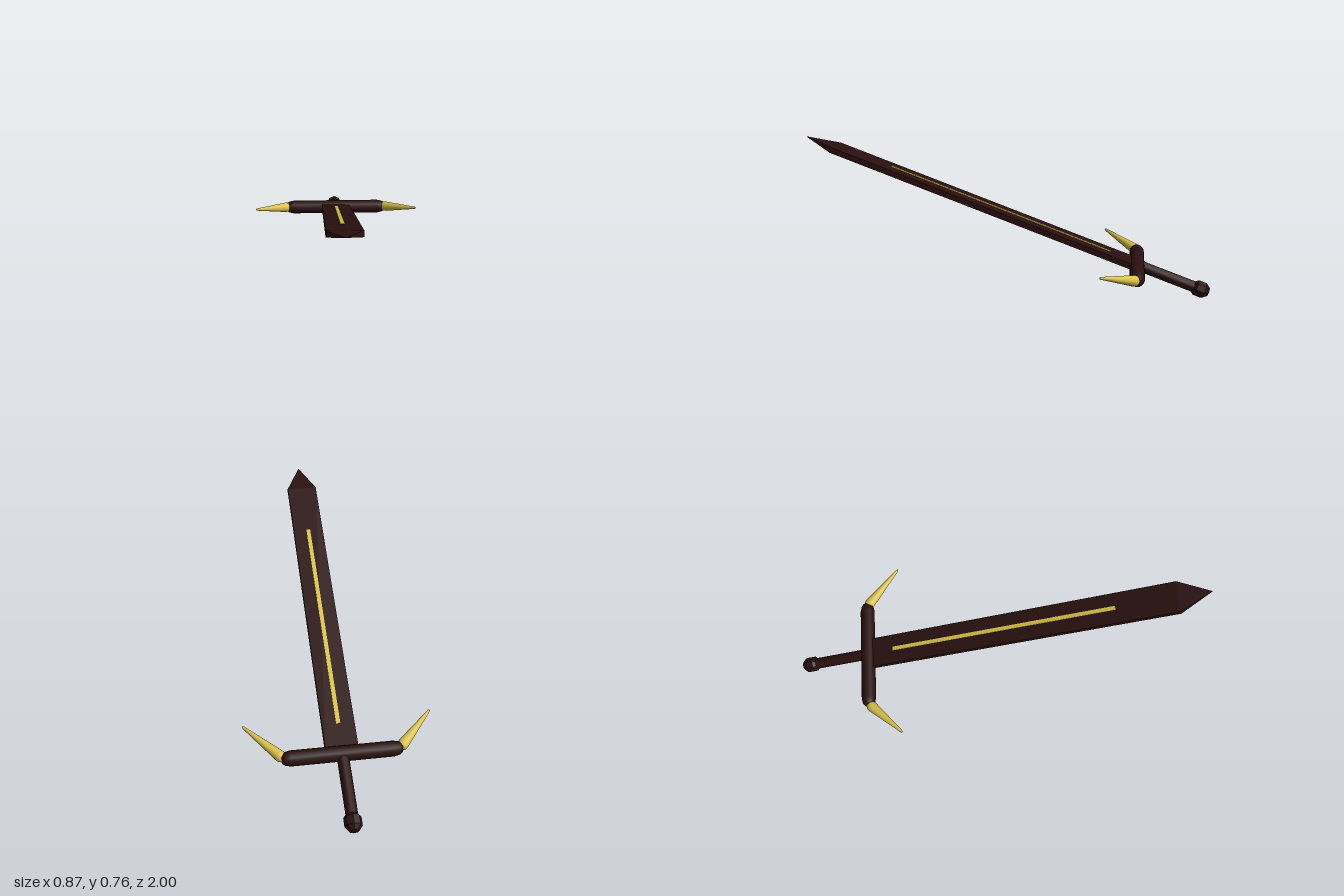
import * as THREE from 'three';

const darkIron = new THREE.MeshStandardMaterial({ color: 0x2a1010 });
darkIron.name = 'darkIron';
const gold = new THREE.MeshStandardMaterial({ color: 0xd8c24a });
gold.name = 'gold';

const flat = (geometry) => {
  const g = geometry.toNonIndexed();
  g.computeVertexNormals();
  return g;
};
// lathe from [radius, height] pairs listed bottom to top
const lathe = (pairs, sides) =>
  new THREE.LatheGeometry(pairs.map(([r, h]) => new THREE.Vector2(r, h)), sides);

export function createModel() {
  const root = new THREE.Group();
  root.name = 'sword';
  // the sword is built along local +y and then tilted
  const sword = new THREE.Group();
  sword.name = 'tiltedSword';
  sword.position.y = 0.393;
  sword.rotation.x = THREE.MathUtils.degToRad(70);
  root.add(sword);

  const add = (name, geometry, material, x = 0, y = 0) => {
    const mesh = new THREE.Mesh(geometry, material);
    mesh.name = name;
    mesh.position.set(x, y, 0);
    sword.add(mesh);
    return mesh;
  };

  // blade and flattened four-sided point
  const start = -0.688, shoulder = 0.905, tip = 1.064;
  add('blade', new THREE.BoxGeometry(0.152, shoulder - start, 0.028), darkIron, 0, (start + shoulder) / 2);
  const point = new THREE.ConeGeometry(Math.SQRT2, tip - shoulder, 4);
  point.rotateY(Math.PI / 4);
  point.scale(0.077, 1, 0.014);
  add('bladePoint', flat(point), darkIron, 0, (shoulder + tip) / 2);

  // gold inlay standing slightly proud on both faces
  add('inlay', new THREE.BoxGeometry(0.02, 1.155, 0.033), gold, 0, 0.0345);

  // crossguard with tapered ends
  const guard = lathe([[0, -0.275], [0.02, -0.275], [0.03, -0.262], [0.036, -0.235],
    [0.036, 0.235], [0.03, 0.262], [0.02, 0.275], [0, 0.275]], 16);
  guard.rotateZ(Math.PI / 2);
  add('crossguard', guard, darkIron, 0, start);

  // horns sweep outward and toward the point
  for (const side of [-1, 1]) {
    const horn = add(side > 0 ? 'leftHorn' : 'rightHorn',
      lathe([[0, -0.018], [0.017, -0.014], [0.026, -0.002], [0.026, 0.015],
        [0.017, 0.11], [0.006, 0.228], [0, 0.235]], 16),
      gold, side * 0.275, -0.677);
    horn.rotation.z = -side * 0.76;
  }

  // grip and faceted pommel
  add('grip', new THREE.CylinderGeometry(0.028, 0.028, 0.33, 12), darkIron, 0, -0.85);
  add('pommel', flat(lathe([[0, -0.043], [0.022, -0.043], [0.04, -0.02],
    [0.04, 0.02], [0.022, 0.043], [0, 0.043]], 8)), darkIron, 0, -1.015);

  return root;
}
